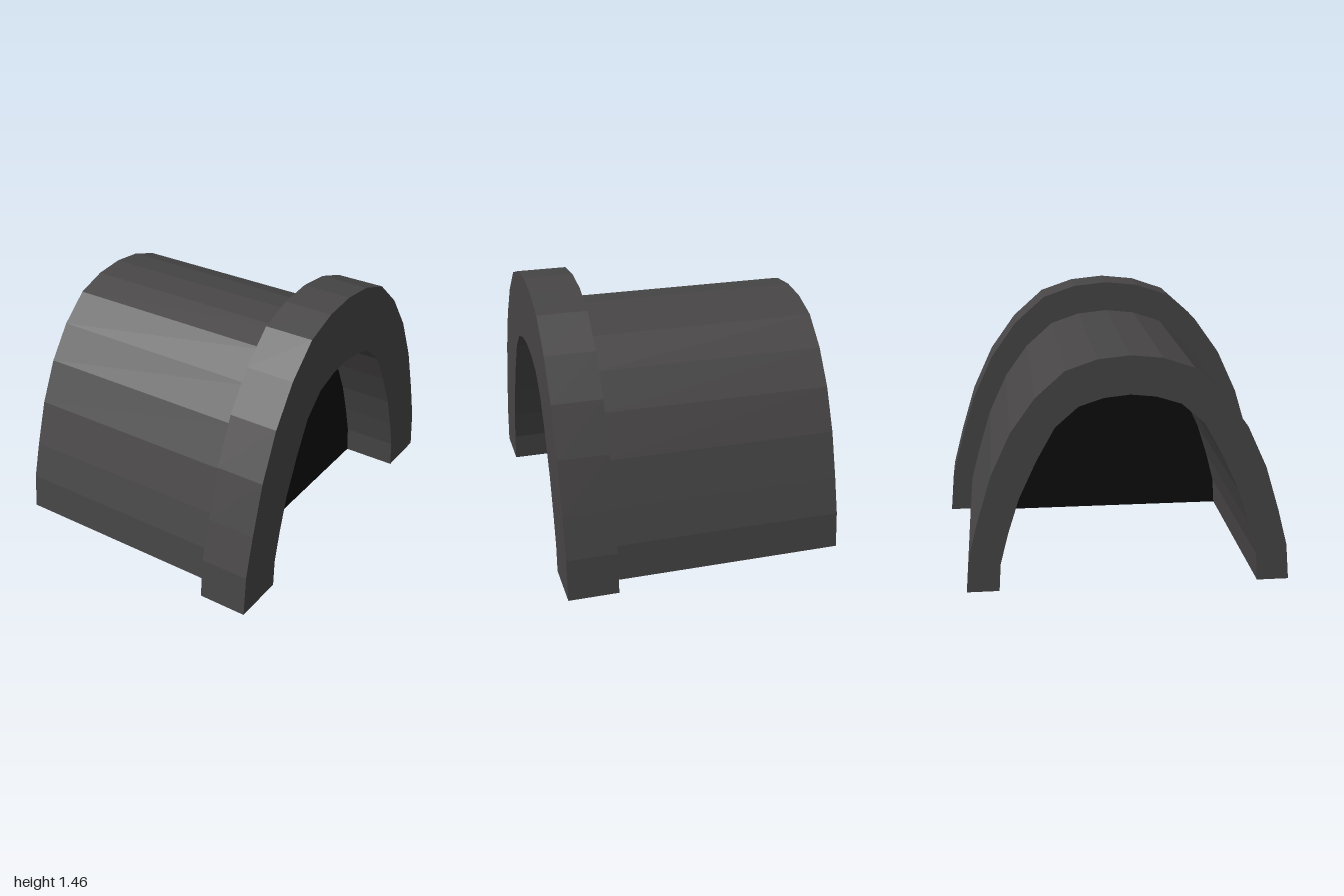
import * as THREE from 'three';

// Half profiles of the arch as [half width, height], from foot to crown
const OUTER = [[1, 0], [0.98, 0.23], [0.92, 0.46], [0.835, 0.74], [0.715, 1.0], [0.565, 1.21], [0.385, 1.37], [0.195, 1.435], [0, 1.455]];
const INNER = [[0.705, 0], [0.695, 0.155], [0.65, 0.33], [0.59, 0.52], [0.495, 0.725], [0.395, 0.905], [0.27, 1.015], [0.135, 1.058], [0, 1.072]];
const BACK = -0.785, STEP = 0.51, FRONT = 0.785, WALL = 0.475;

// Mirrors a half profile into a full arch running from one foot to the other
function arch(half, scale = 1) {
  const right = half.map(([w, h]) => new THREE.Vector2(w * scale, h * scale));
  const left = right.slice(0, -1).reverse().map((p) => new THREE.Vector2(-p.x, p.y));
  return [...right, ...left];
}

// Extrudes an arched band along x
function archBand(name, scale, x0, x1, material) {
  const shape = new THREE.Shape([...arch(OUTER, scale), ...arch(INNER).reverse()]);
  const geometry = new THREE.ExtrudeGeometry(shape, { depth: x1 - x0, bevelEnabled: false });
  geometry.rotateY(Math.PI / 2).translate(x0, 0, 0);
  const mesh = new THREE.Mesh(geometry, material);
  mesh.name = name;
  return mesh;
}

export function createModel() {
  const group = new THREE.Group();
  group.name = 'archedTunnel';
  const stone = new THREE.MeshStandardMaterial({ color: 0x474545, flatShading: true });
  const dark = new THREE.MeshStandardMaterial({ color: 0x0d0d0d, side: THREE.DoubleSide });

  // Long vault and the thicker rim at its mouth
  group.add(archBand('vault', 0.88, BACK, STEP, stone));
  group.add(archBand('entranceRim', 1, STEP, FRONT, stone));

  // Dark panel closing the passage just behind the rim
  const panel = new THREE.ShapeGeometry(new THREE.Shape(arch(INNER)));
  panel.rotateY(Math.PI / 2).translate(WALL, 0, 0);
  const wall = new THREE.Mesh(panel, dark);
  wall.name = 'darkPanel';
  group.add(wall);

  return group;
}
